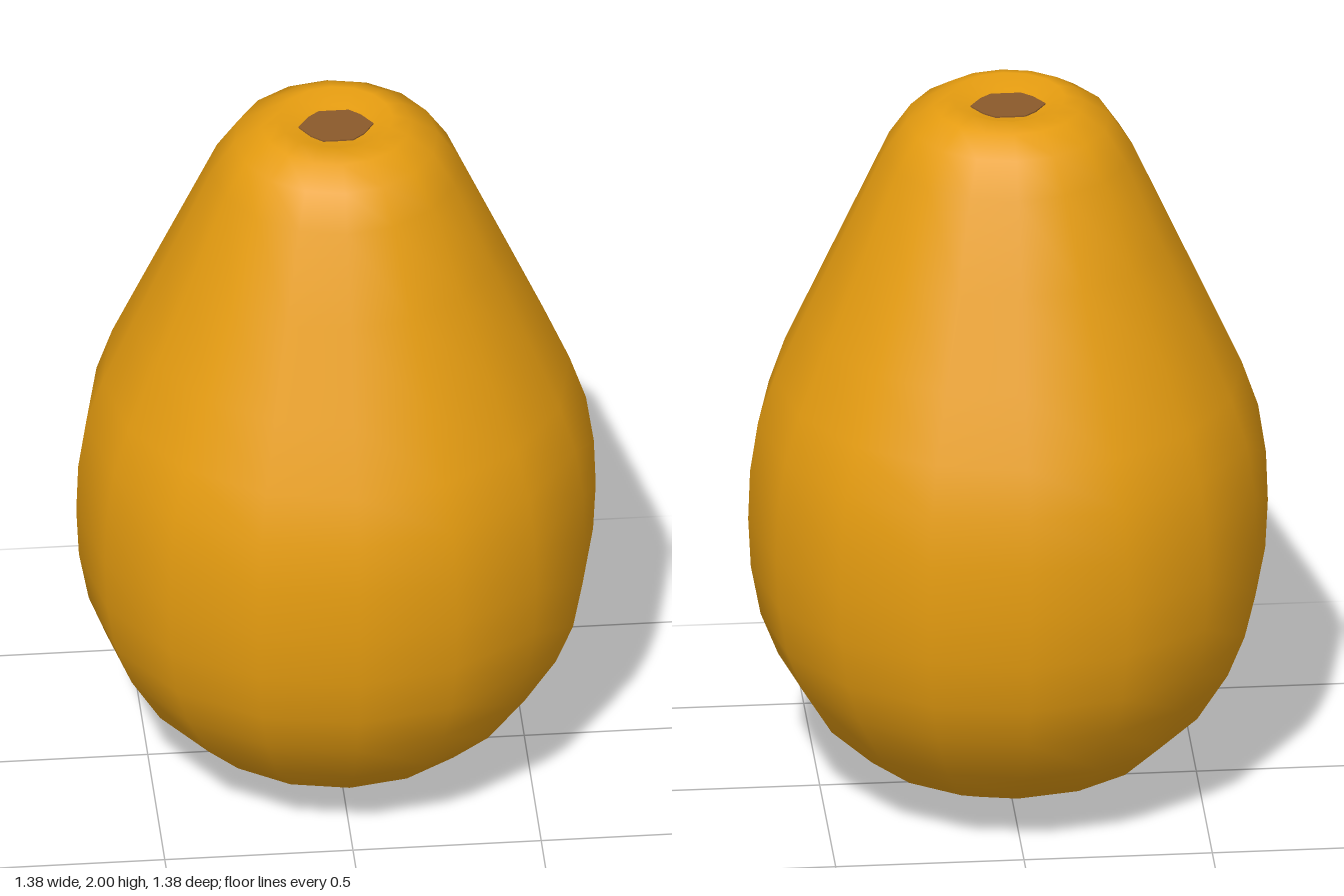
import * as THREE from 'three';

export function createModel() {
  const model = new THREE.Group();
  model.name = 'fruit';

  const skin = new THREE.MeshStandardMaterial({ color: 0xe59c10 });
  skin.name = 'golden skin';
  const brown = new THREE.MeshStandardMaterial({ color: 0x8b5a2b });
  brown.name = 'stem brown';

  // Fruit body: a 16-sided lathe from the bottom tip up to the sunken crown
  const profile = [
    [0, 0], [0.24, 0.055], [0.405, 0.135], [0.525, 0.25], [0.61, 0.39],
    [0.657, 0.51], [0.683, 0.65], [0.69, 0.79], [0.685, 0.93], [0.664, 1.07],
    [0.62, 1.2], [0.54, 1.38], [0.435, 1.615], [0.33, 1.85], [0.27, 1.94],
    [0.2, 1.985], [0.15, 2], [0.1, 1.975], [0, 1.97],
  ].map(([r, y]) => new THREE.Vector2(r, y));
  const body = new THREE.Mesh(new THREE.LatheGeometry(profile, 16), skin);
  body.name = 'fruitBody';
  model.add(body);

  // Stem scar: a thin irregular plate lying in the hollow of the crown
  const outline = [
    [0.1, 0], [0.07, 0.045], [0.04, 0.07], [-0.04, 0.07], [-0.07, 0.045],
    [-0.1, 0], [-0.07, -0.045], [-0.04, -0.07], [0.04, -0.07], [0.07, -0.045],
  ].map(([x, y]) => new THREE.Vector2(x, y));
  const scarGeometry = new THREE.ExtrudeGeometry(new THREE.Shape(outline), {
    depth: 0.009, bevelEnabled: false,
  });
  scarGeometry.rotateX(-Math.PI / 2);
  const scar = new THREE.Mesh(scarGeometry, brown);
  scar.name = 'stemScar';
  scar.position.y = 1.969;
  model.add(scar);

  return model;
}
